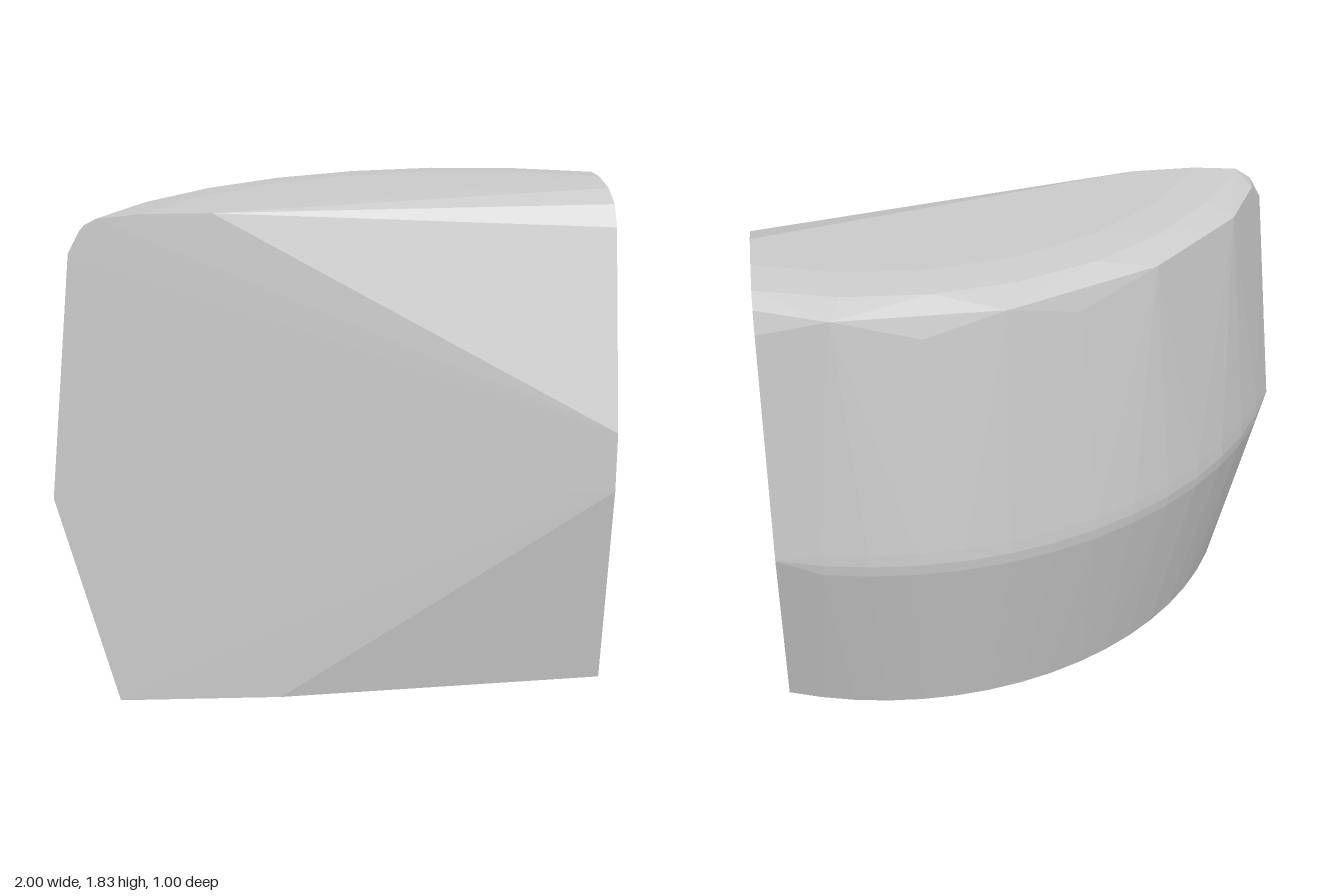
import * as THREE from 'three';
import { ConvexGeometry } from 'three/addons/geometries/ConvexGeometry.js';

// Arc of the curved back at height y, running from the front plane round to the flat side
function backArc(y, radius, steps, skipEnds = false) {
  const cx = 0.46, cz = 1.09, frontZ = 0.46, sideX = 1;
  const start = -Math.acos((cz - frontZ) / radius);
  const end = Math.asin((sideX - cx) / radius);
  const points = [];
  for (let i = skipEnds ? 1 : 0; i <= steps - (skipEnds ? 1 : 0); i++) {
    const a = start + (end - start) * i / steps;
    points.push(new THREE.Vector3(cx + radius * Math.sin(a), y, cz - radius * Math.cos(a)));
  }
  return points;
}

export function createModel() {
  const group = new THREE.Group();
  group.name = 'facetedBlock';

  const points = [
    // Tapering base, widest belt and rounded shoulder of the curved back
    ...backArc(0, 1.40, 16),
    ...backArc(0.8, 1.59, 14),
    ...backArc(0.755, 1.585, 14, true),
    ...backArc(0.85, 1.588, 14, true),
    ...backArc(1.69, 1.51, 12),
    ...backArc(1.81, 1.42, 7),
    ...backArc(1.825, 1.28, 6),
  ];

  // Coarse shoulder rim (x, z)
  const rim = [[-0.87, 0.46], [-0.86, 0.38], [-0.74, 0.15], [-0.4, -0.17], [0.15, -0.4], [0.75, -0.4], [1, -0.29]];
  for (const [x, z] of rim) points.push(new THREE.Vector3(x, 1.77, z));

  // Front corners on the bottom and top edges
  points.push(
    new THREE.Vector3(-0.2, 0, 0.465),
    new THREE.Vector3(-0.42, 1.825, 0.46),
  );

  // Front edge of the flat side (y, z)
  const sideEdge = [[0, 0.36], [0.8, 0.497], [1.02, 0.497], [1.72, 0.3], [1.79, 0.24], [1.822, 0.12]];
  for (const [y, z] of sideEdge) points.push(new THREE.Vector3(1, y, z));

  const block = new THREE.Mesh(
    new ConvexGeometry(points),
    new THREE.MeshStandardMaterial({ color: 0xcccccc, flatShading: true }),
  );
  block.name = 'block';
  group.add(block);
  return group;
}
